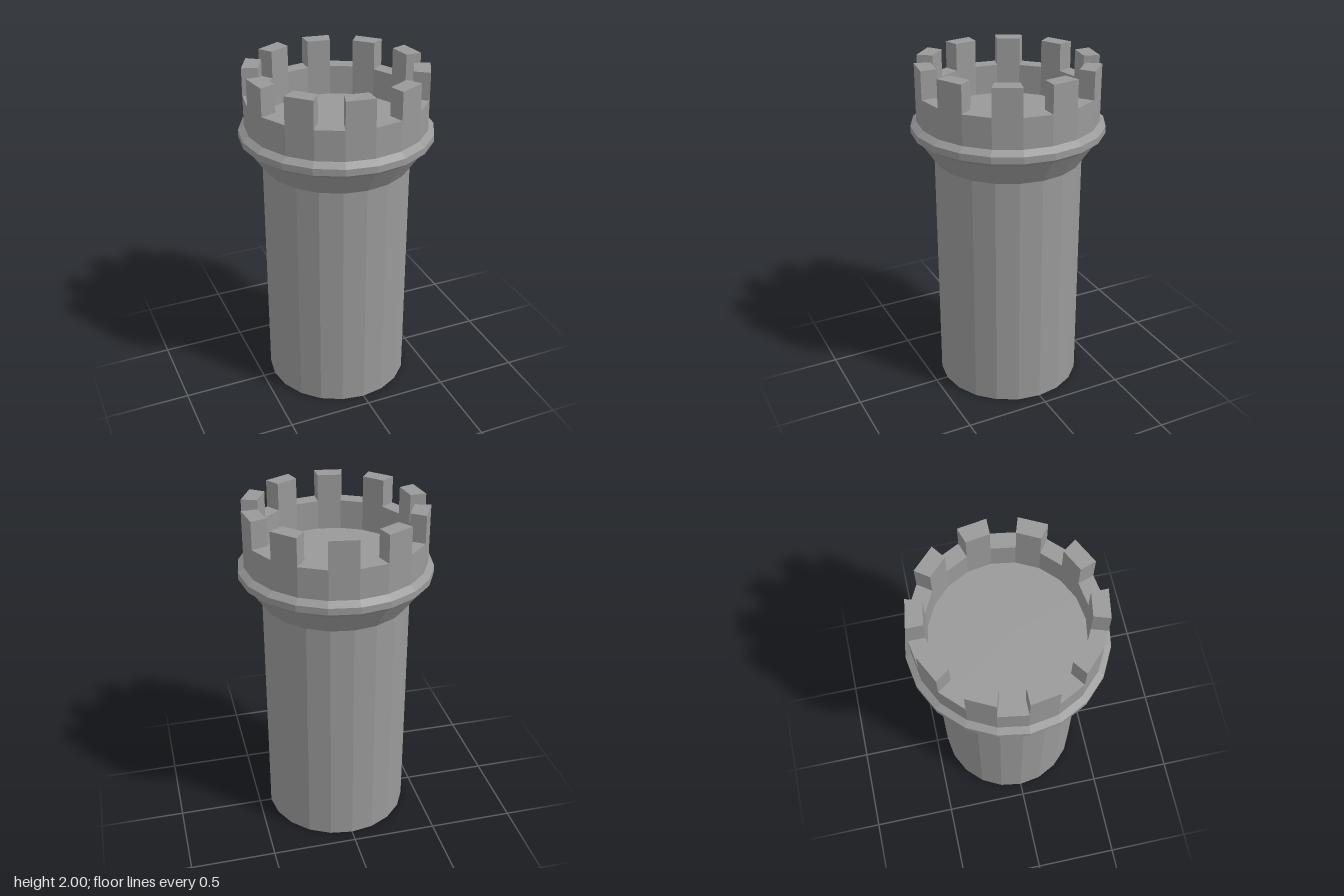
import * as THREE from 'three';

const SIDES = 20, STEP = (Math.PI * 2) / SIDES;
const BODY_R = 0.427, WALL_R = 0.522, INNER_R = 0.43, COLLAR_R = 0.557;
const FLOOR_Y = 1.665, RIM_Y = 1.84, TOP_Y = 2;

export function createModel() {
  const stone = new THREE.MeshStandardMaterial({ color: 0x999999, flatShading: true });
  stone.name = 'stone grey';
  const tower = new THREE.Group();
  tower.name = 'tower';

  const add = (name, geometry, parent = tower) => {
    const mesh = new THREE.Mesh(geometry, stone);
    mesh.name = name;
    parent.add(mesh);
    return mesh;
  };
  // Faceted ring or solid from [radius, height] pairs, listed bottom to top
  const turned = (name, profile) =>
    add(name, new THREE.LatheGeometry(profile.map(([r, y]) => new THREE.Vector2(r, y)), SIDES));

  // Shaft with closed base
  turned('shaft', [[0, 0], [BODY_R, 0], [BODY_R, 1.43]]);
  // Flared support and projecting collar
  turned('collar', [[BODY_R, 1.43], [WALL_R, 1.57], [COLLAR_R, 1.598], [COLLAR_R, 1.637], [WALL_R, FLOOR_Y]]);
  // Parapet wall: outer face, rim and inner face
  turned('parapet', [[WALL_R, FLOOR_Y], [WALL_R, RIM_Y], [INNER_R, RIM_Y], [INNER_R, FLOOR_Y]]);
  // Platform inside the parapet
  turned('platform', [[INNER_R, FLOOR_Y], [0, FLOOR_Y]]);

  // Battlements stand on every second facet of the rim
  const battlements = new THREE.Group();
  battlements.name = 'battlements';
  tower.add(battlements);
  const corner = (r, a) => new THREE.Vector2(r * Math.sin(a), -r * Math.cos(a));
  for (let k = 1; k < SIDES; k += 2) {
    const a = k * STEP, b = a + STEP;
    const outline = new THREE.Shape([corner(INNER_R, a), corner(WALL_R, a), corner(WALL_R, b), corner(INNER_R, b)]);
    const block = new THREE.ExtrudeGeometry(outline, { depth: TOP_Y - RIM_Y, bevelEnabled: false });
    block.rotateX(-Math.PI / 2).translate(0, RIM_Y, 0);
    add('merlon', block, battlements);
  }
  return tower;
}
